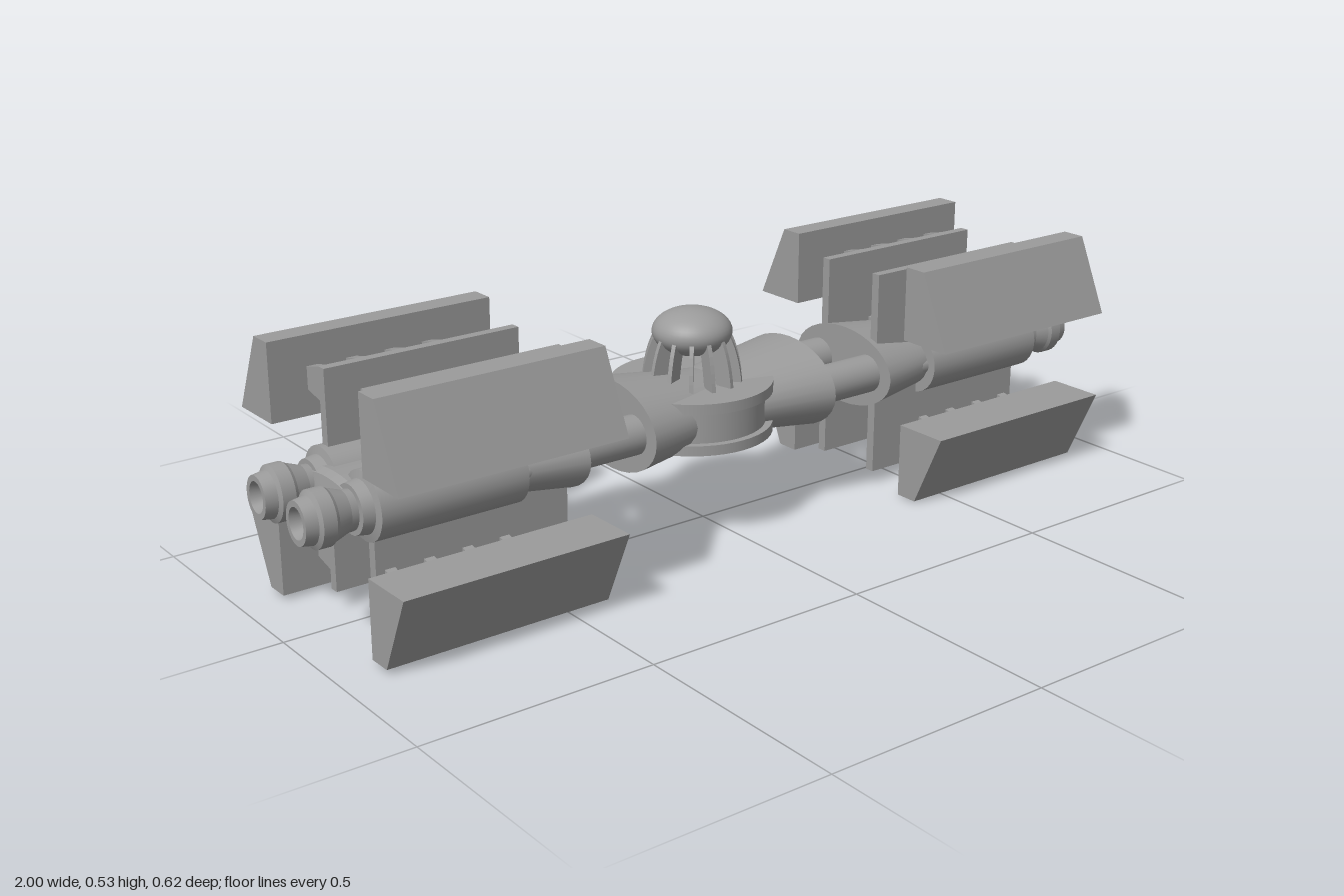
import * as THREE from 'three';

export function createModel() {
  const model = new THREE.Group();
  const ship = new THREE.Group();
  ship.name = 'ship';
  model.add(ship);
  // slight overall tilt of the craft
  ship.position.y = 0.268;
  ship.rotation.set(0, 0.011, -0.006);

  const color = 0x9b9b9b;
  const smooth = new THREE.MeshStandardMaterial({ color, side: THREE.DoubleSide });
  const flat = new THREE.MeshStandardMaterial({ color, flatShading: true });

  const add = (parent, name, geometry, material = flat) => {
    const mesh = new THREE.Mesh(geometry, material);
    mesh.name = name;
    parent.add(mesh);
    return mesh;
  };

  // lathe with crisp edges: every profile segment is its own band
  const crispLathe = (parent, name, points, segments = 32) => {
    const g = new THREE.Group();
    g.name = name;
    for (let i = 0; i < points.length - 1; i++) {
      const pair = [points[i], points[i + 1]].map(([r, h]) => new THREE.Vector2(r, h));
      add(g, name + 'Band', new THREE.LatheGeometry(pair, segments), smooth);
    }
    parent.add(g);
    return g;
  };

  // profile of [radius, x] turned round the x axis
  const alongX = (parent, name, points) => {
    const g = crispLathe(parent, name, points);
    g.rotation.z = -Math.PI / 2;
    return g;
  };

  // outline of [z, y] extruded along x from x0 to x1
  const prismX = (parent, name, outline, x0, x1) => {
    const shape = new THREE.Shape(outline.map(([z, y]) => new THREE.Vector2(-z, y)));
    const geo = new THREE.ExtrudeGeometry(shape, { depth: x1 - x0, bevelEnabled: false });
    geo.rotateY(Math.PI / 2);
    geo.translate(x0, 0, 0);
    return add(parent, name, geo);
  };

  // central waisted hull, elliptical in section
  const hull = alongX(ship, 'centralHull', [[0, -0.24], [0.155, -0.24], [0.108, 0], [0.155, 0.24], [0, 0.24]]);
  hull.scale.x = 0.625;

  // round spool through the middle of the hull
  const spool = crispLathe(ship, 'spoolDeck', [
    [0, -0.055], [0.172, -0.055], [0.172, -0.033], [0.157, -0.033],
    [0.157, 0.034], [0.172, 0.034], [0.172, 0.057], [0, 0.057],
  ], 48);
  spool.position.x = -0.03;

  // domed turret on a ring of splayed ribs
  const turret = new THREE.Group();
  turret.name = 'turret';
  turret.position.x = -0.03;
  ship.add(turret);
  const dome = add(turret, 'dome', new THREE.SphereGeometry(0.085, 40, 24), smooth);
  dome.scale.y = 0.59;
  dome.position.y = 0.162;
  const ribShape = new THREE.Shape();
  ribShape.moveTo(0.07, 0.055);
  ribShape.lineTo(0.108, 0.055);
  ribShape.quadraticCurveTo(0.102, 0.12, 0.08, 0.16);
  ribShape.lineTo(0.04, 0.16);
  ribShape.quadraticCurveTo(0.06, 0.11, 0.07, 0.055);
  const ribGeo = new THREE.ExtrudeGeometry(ribShape, { depth: 0.009, bevelEnabled: false, curveSegments: 6 });
  ribGeo.translate(0, 0, -0.0045);
  const ribs = 14;
  for (let i = 0; i < ribs; i++) {
    add(turret, 'turretRib', ribGeo).rotation.y = (i / ribs) * Math.PI * 2;
  }

  // one engine block at each end; the second is turned half round
  for (const turn of [0, Math.PI]) {
    const engine = new THREE.Group();
    engine.name = turn ? 'rightEngine' : 'leftEngine';
    engine.rotation.y = turn;
    ship.add(engine);

    // elliptical collar and the core between the barrels
    const collar = alongX(engine, 'collar', [[0, 0.4], [0.155, 0.4], [0.125, 0.545], [0, 0.545]]);
    collar.scale.x = 0.57;
    const core = alongX(engine, 'engineCore', [[0.13, 0.5], [0.13, 0.875], [0.11, 0.892], [0, 0.9]]);
    core.scale.x = 0.36;

    for (const s of [1, -1]) {
      // connecting pipe, engine barrel and nozzle
      const z = s * 0.079;
      alongX(engine, 'connectingPipe', [[0.042, 0.18], [0.042, 0.45]]).position.z = z;
      alongX(engine, 'engineBarrel', [
        [0, 0.54], [0.07, 0.54], [0.07, 0.862], [0.054, 0.866], [0.05, 0.89], [0, 0.89],
      ]).position.z = z;
      const nozzle = alongX(engine, 'nozzle', [
        [0.04, 0.88], [0.042, 0.905], [0.053, 0.935], [0.058, 0.942], [0.058, 0.97],
        [0.048, 0.975], [0.044, 1.0], [0.032, 1.0], [0.017, 0.94], [0, 0.94],
      ]);
      nozzle.position.z = z;
      nozzle.scale.z = 0.88;

      // upright inner panel
      const panel = add(engine, 'innerPanel', new THREE.BoxGeometry(0.435, 0.458, 0.021));
      panel.position.set(0.6325, -0.004, s * 0.081);

      for (const v of [1, -1]) {
        // keep the outline direction consistent when mirrored
        const mirror = (pts) => {
          const out = pts.map(([pz, py]) => [pz * s, py * v]);
          return s * v > 0 ? out : out.reverse();
        };
        // wedge-shaped outer armour
        prismX(engine, 'outerArmour', mirror([
          [0.176, 0.098], [0.302, 0.098], [0.228, 0.262], [0.176, 0.262],
        ]), 0.415, 0.912);
        // tapered struts between panel and armour
        for (let i = 0; i < 4; i++) {
          const x = 0.565 + i * 0.085;
          prismX(engine, 'strut', mirror([
            [0.085, 0.132], [0.178, 0.152], [0.178, 0.198], [0.085, 0.221],
          ]), x - 0.011, x + 0.011);
        }
      }
    }
  }
  return model;
}
